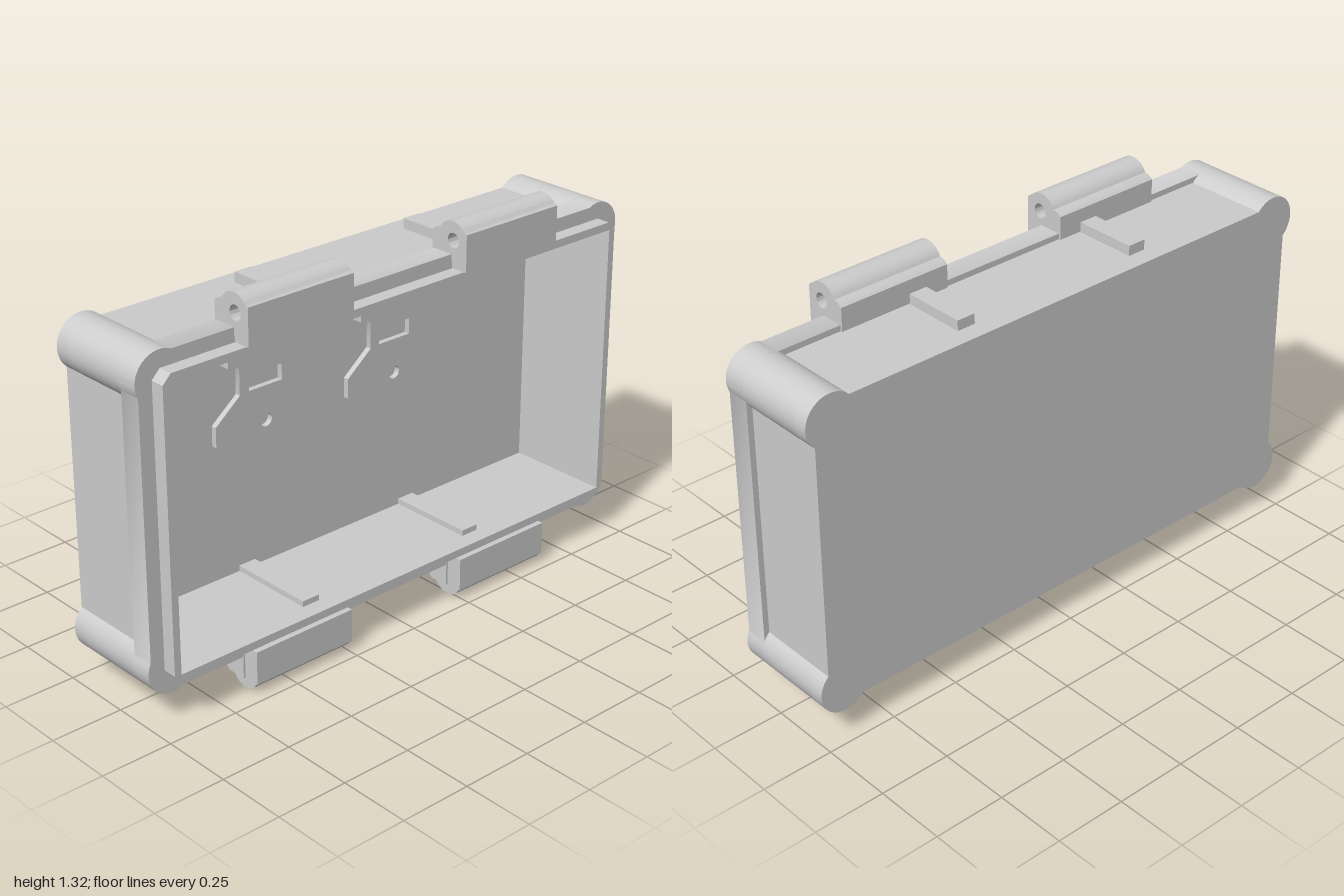
import * as THREE from 'three';
import { toCreasedNormals } from 'three/addons/utils/BufferGeometryUtils.js';

const material = new THREE.MeshStandardMaterial({ color: 0xcccccc });
const CY = 0.6625; // height of the case centre

function add(group, name, geometry) {
  const mesh = new THREE.Mesh(geometry, material);
  mesh.name = name;
  group.add(mesh);
  return mesh;
}

// extrude a front-facing outline between two z planes
function slab(shape, z0, z1) {
  const g = new THREE.ExtrudeGeometry(shape, { depth: z1 - z0, bevelEnabled: false, curveSegments: 12 });
  return toCreasedNormals(g.translate(0, 0, z0), 0.6);
}

// extrude a (z, y) side profile along x
function sideSlab(shape, x0, x1) {
  const g = new THREE.ExtrudeGeometry(shape, { depth: x1 - x0, bevelEnabled: false, curveSegments: 20 });
  return toCreasedNormals(g.rotateY(-Math.PI / 2).translate(x1, 0, 0), 0.6);
}

function box(x0, x1, y0, y1, z0, z1) {
  return new THREE.BoxGeometry(x1 - x0, y1 - y0, z1 - z0)
    .translate((x0 + x1) / 2, (y0 + y1) / 2, (z0 + z1) / 2);
}

const polygon = (points) => new THREE.Shape(points.map(([x, y]) => new THREE.Vector2(x, y)));

// rectangle with a round post bulging out at every corner
function caseOutline(inset) {
  const r = 0.09, a = Math.acos((r - inset) / r), s = new THREE.Shape(), H = Math.PI / 2;
  [[1, 1], [-1, 1], [-1, -1], [1, -1]].forEach(([sx, sy], i) => {
    s.absarc(sx * 0.91, CY + sy * 0.4725, r, i * H - a, (i + 1) * H + a, false);
  });
  s.closePath();
  return s;
}

function cavity() {
  return polygon([[-0.915, 0.185], [-0.915, 1.14], [0.915, 1.14], [0.915, 0.185]]);
}

function withCavity(shape) {
  shape.holes.push(cavity());
  return shape;
}

// rectangle with cut corners for the sealing lip
function lipOutline() {
  const pts = [], w = 0.94, h = 0.505, c = 0.03;
  for (const [sx, sy] of [[1, 1], [-1, 1], [-1, -1], [1, -1]]) {
    const corner = [[sx * w, CY + sy * (h - c)], [sx * (w - c), CY + sy * h]];
    pts.push(...(sx * sy > 0 ? corner : corner.reverse()));
  }
  return polygon(pts);
}

// hanging plate with a slot and a pin hole, centred on x = cx
function addBracket(group, cx) {
  const mirror = (half) => polygon([
    ...half.map(([x, y]) => [cx + x, y]),
    ...half.slice().reverse().map(([x, y]) => [cx - x, y]),
  ]);
  const plate = mirror([[0.204, 0.665], [0.204, 0.735], [0.105, 0.815], [0.105, 0.905], [0.125, 0.935]]);
  const pin = new THREE.Path();
  pin.absarc(cx, 0.7, 0.023, 0, Math.PI * 2, true);
  const slot = polygon([[cx - 0.067, 0.82], [cx - 0.067, 0.875], [cx + 0.067, 0.875], [cx + 0.067, 0.82]]);
  plate.holes.push(pin, slot);
  const bracket = new THREE.Group();
  bracket.name = 'bracket';
  add(bracket, 'bracketPlate', slab(plate, -0.175, -0.15));
  add(bracket, 'bracketLedge', box(cx - 0.165, cx + 0.165, 0.93, 0.957, -0.175, -0.13));
  add(bracket, 'bracketTop', slab(
    mirror([[0.165, 0.955], [0.204, 0.975], [0.165, 1.142]]), -0.175, -0.145));
  group.add(bracket);
}

// hinge knuckle above the case
function hingeProfile() {
  const s = new THREE.Shape();
  s.moveTo(0.158, 1.17);
  s.lineTo(0.22, 1.17);
  s.lineTo(0.22, 1.295);
  s.lineTo(0.21, 1.3);
  s.absarc(0.157, 1.262, 0.063, 0.6, Math.PI - 0.45, false);
  s.lineTo(0.08, 1.285);
  s.lineTo(0.068, 1.275);
  s.lineTo(0.068, 1.19);
  s.lineTo(0.158, 1.19);
  s.closePath();
  const hole = new THREE.Path();
  hole.absarc(0.162, 1.262, 0.025, 0, Math.PI * 2, true);
  s.holes.push(hole);
  return s;
}

// latch below the case
function latchProfile() {
  const s = new THREE.Shape();
  s.moveTo(0.158, 0.15);
  s.lineTo(0.12, 0.11);
  s.lineTo(0.1, 0.045);
  s.absarc(0.155, 0.06, 0.06, Math.PI + 0.35, Math.PI * 2 - 0.5, false);
  s.lineTo(0.215, 0.035);
  s.lineTo(0.215, 0.15);
  s.closePath();
  return s;
}

export function createModel() {
  const model = new THREE.Group();
  model.name = 'caseHalf';

  // shell: raised front rim, recessed walls, back and sealing lip
  add(model, 'frontRim', slab(withCavity(caseOutline(0.01)), 0.075, 0.155));
  add(model, 'walls', slab(withCavity(caseOutline(0.03)), -0.17, 0.075));
  add(model, 'back', slab(caseOutline(0.03), -0.22, -0.17));
  add(model, 'sealingLip', slab(withCavity(lipOutline()), 0.155, 0.205));

  for (const side of [-1, 1]) {
    const x = side * 0.352;
    // ribs on both faces of the top and bottom walls
    add(model, 'topOuterRib', box(x - 0.033, x + 0.033, 1.18, 1.23, -0.155, 0.065));
    add(model, 'topInnerRib', box(x - 0.033, x + 0.033, 1.125, 1.15, -0.175, 0.145));
    add(model, 'bottomOuterRib', box(x - 0.033, x + 0.033, 0.09, 0.145, -0.155, 0.065));
    add(model, 'bottomInnerRib', box(x - 0.033, x + 0.033, 0.175, 0.205, -0.175, 0.145));

    // hinges above, latches below
    const hx = side * 0.437;
    add(model, 'hinge', sideSlab(hingeProfile(), hx - 0.203, hx + 0.203));
    add(model, 'latch', sideSlab(latchProfile(), hx - 0.196, hx + 0.196));
    add(model, 'latchMount', sideSlab(polygon([
      [0.157, 0.035], [0.157, 0.12], [0.077, 0.12], [0.077, 0.045], [0.087, 0.035],
    ].reverse()), hx - 0.203, hx + 0.203));

    // brackets on the back wall
    addBracket(model, side * 0.276);
  }
  return model;
}
